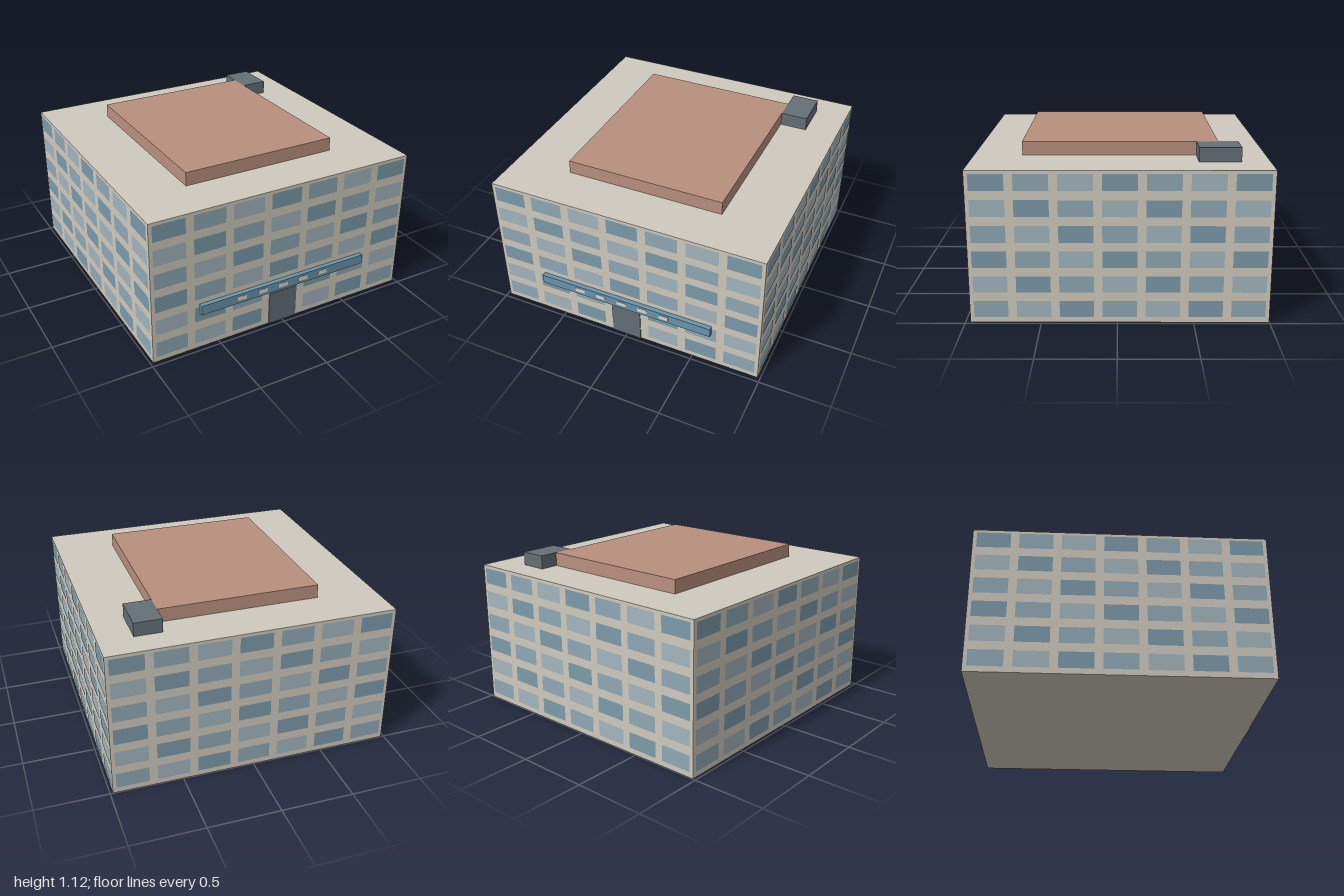
import * as THREE from 'three';

const mat = (color) => new THREE.MeshStandardMaterial({ color });

export function createModel() {
  const model = new THREE.Group();
  model.name = 'officeBuilding';

  const wall = mat(0xcfcabe);
  const slate = mat(0x656f77);
  const glass = [mat(0x7c9aa9), mat(0x90a8b5), mat(0xa3b5bd)];

  // Box given by its minimum and maximum corners
  function box(name, material, [x0, y0, z0], [x1, y1, z1]) {
    const mesh = new THREE.Mesh(new THREE.BoxGeometry(x1 - x0, y1 - y0, z1 - z0), material);
    mesh.position.set((x0 + x1) / 2, (y0 + y1) / 2, (z0 + z1) / 2);
    mesh.name = name;
    model.add(mesh);
  }

  // Main block and roof
  const H = 1.03, halfW = 0.98, back = -0.998, front = 0.966;
  const midZ = (front + back) / 2, halfD = (front - back) / 2;
  box('mainBlock', wall, [-halfW, 0, back], [halfW, H, front]);
  box('roofTerrace', mat(0xb9907e), [-0.56, H, -0.675], [0.56, 1.125, 0.64]);
  box('roofPlantBox', slate, [0.56, H, -0.81], [0.75, 1.125, -0.53]);

  // Windows: 7 columns by 6 floors on each of the four facades
  const pane = new THREE.PlaneGeometry(0.225, 0.112);
  ['front', 'right', 'back', 'left'].forEach((side, s) => {
    const facade = new THREE.Group();
    facade.name = side + 'Windows';
    facade.position.z = midZ;
    facade.rotation.y = s * Math.PI / 2;
    const offset = (s % 2 ? halfW : halfD) + 0.002;
    for (let row = 0; row < 6; row++) {
      for (let col = 0; col < 7; col++) {
        if (s === 0 && row === 0 && col === 3) continue; // entrance
        const window = new THREE.Mesh(pane, glass[(row + col + 1) % 3]);
        window.name = 'window';
        window.position.set((col - 3) * 0.281, 0.095 + row * 0.1716, offset);
        facade.add(window);
      }
    }
    model.add(facade);
  });

  // Entrance door and the band above it with pale markers
  box('entranceDoor', slate, [-0.108, 0, front - 0.01], [0.108, 0.245, front + 0.006]);
  box('entranceBand', mat(0x6a95ab), [-0.64, 0.276, front], [0.64, 0.345, 0.998]);
  for (let i = 0; i < 5; i++) {
    const x = -0.34 + i * 0.16;
    box('bandMarker', mat(0xd8d8d2), [x - 0.035, 0.296, 0.99], [x + 0.035, 0.328, 1.0]);
  }

  return model;
}
